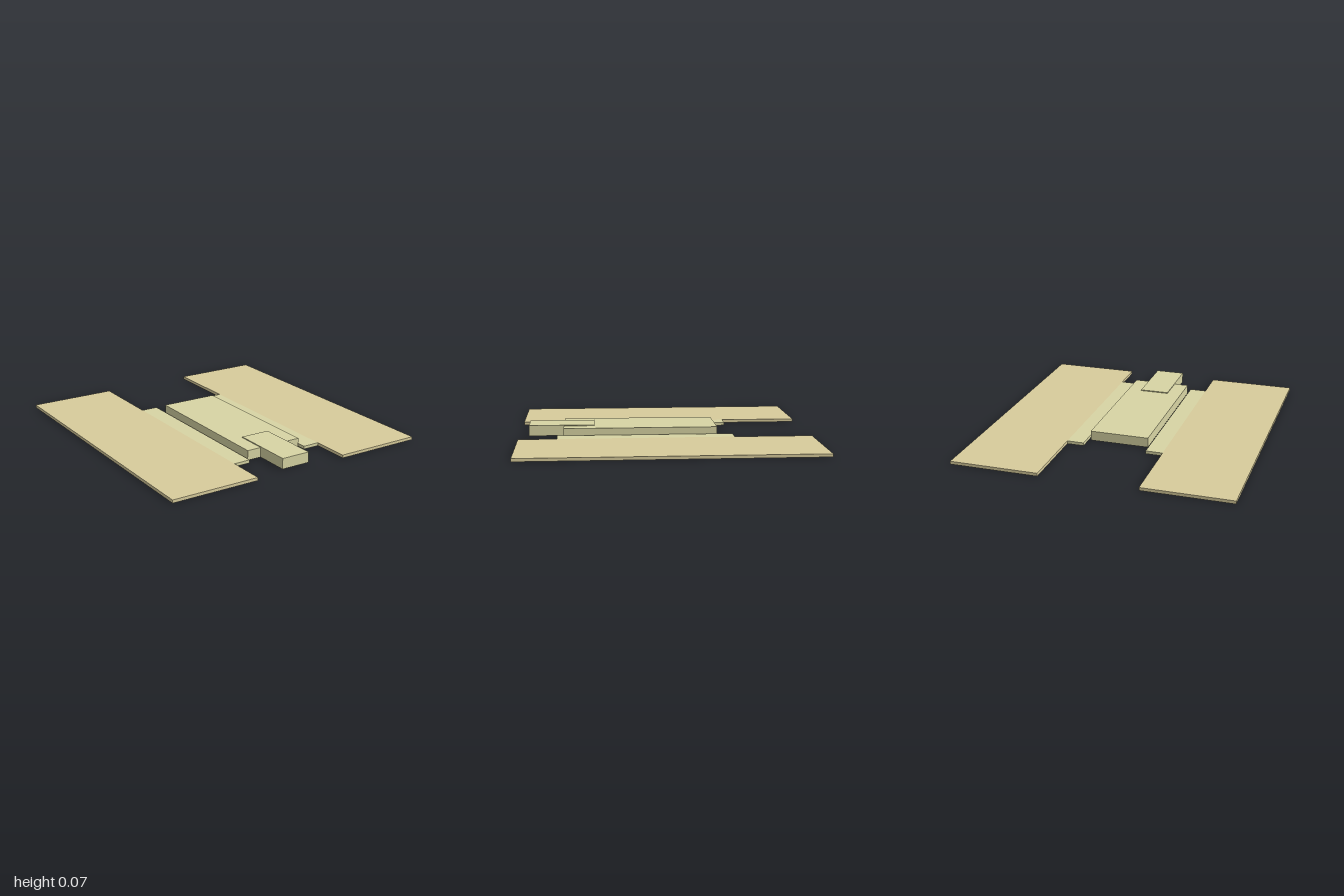
import * as THREE from 'three';

const outerMaterial = new THREE.MeshStandardMaterial({ color: 0xd8cc9c });
const innerMaterial = new THREE.MeshStandardMaterial({ color: 0xd8d5a4 });

// Box given by its extents, standing on the ground
function slab(name, x0, x1, z0, z1, height, material) {
  const mesh = new THREE.Mesh(new THREE.BoxGeometry(x1 - x0, height, z1 - z0), material);
  mesh.position.set((x0 + x1) / 2, height / 2, (z0 + z1) / 2);
  mesh.name = name;
  return mesh;
}

export function createModel() {
  const model = new THREE.Group();
  model.name = 'slabModel';

  // Raised central body with a narrower, slightly higher block at the front
  model.add(slab('centralBody', -0.204, 0.204, -0.362, 0.697, 0.067, innerMaterial));
  model.add(slab('frontBlock', -0.103, 0.103, 0.485, 0.938, 0.073, innerMaterial));

  // Thin side plates: a long outer panel and a shorter strip beside the body
  for (const side of [-1, 1]) {
    const plate = new THREE.Group();
    plate.name = side > 0 ? 'leftPlate' : 'rightPlate';
    const span = (a, b) => (side > 0 ? [a, b] : [-b, -a]);
    plate.add(slab('outerPanel', ...span(0.336, 0.945), -1, 1, 0.021, outerMaterial));
    plate.add(slab('innerStrip', ...span(0.219, 0.336), -0.467, 0.74, 0.021, innerMaterial));
    model.add(plate);
  }
  return model;
}
